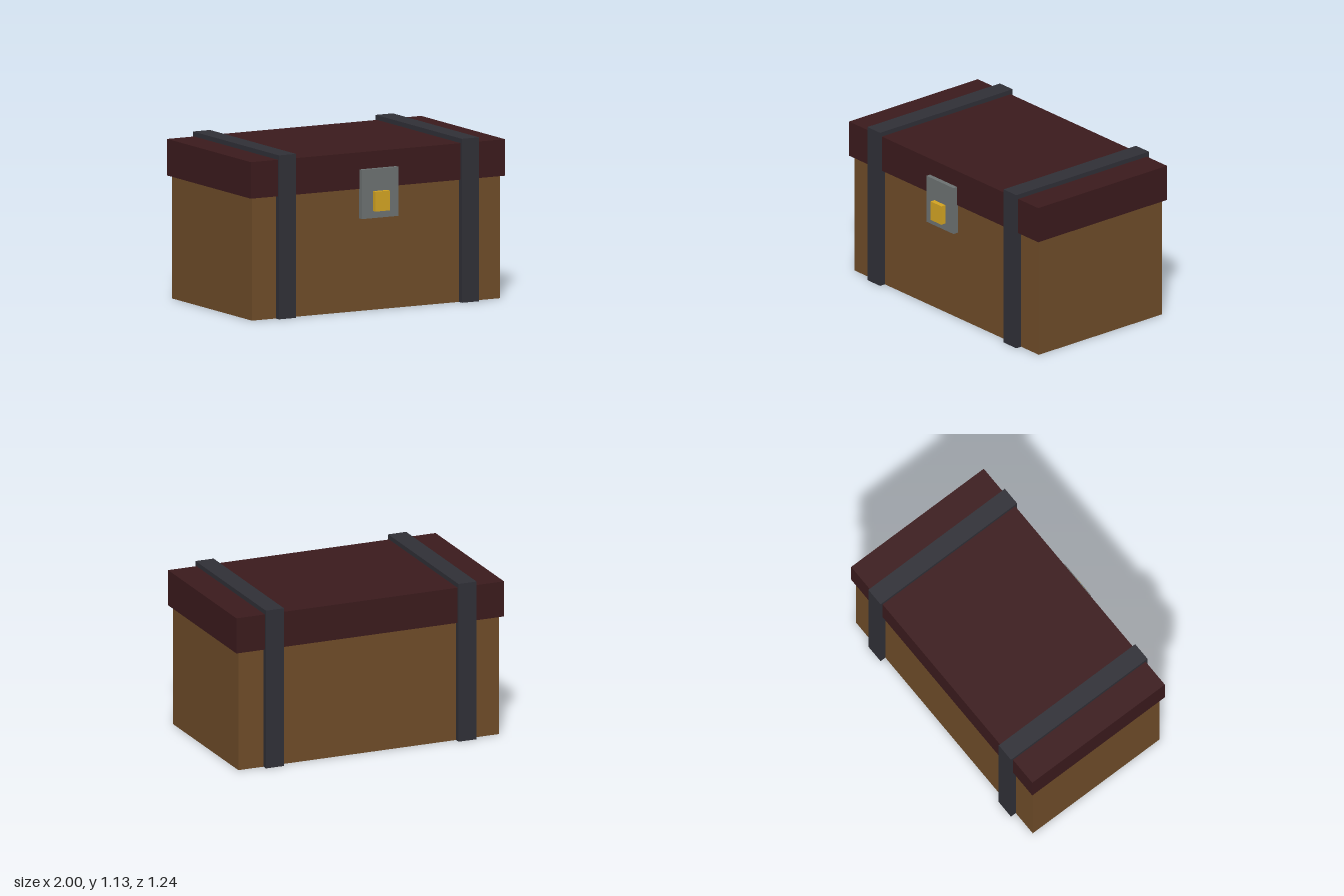
import * as THREE from 'three';

const material = (name, color) => {
  const m = new THREE.MeshStandardMaterial({ color });
  m.name = name;
  return m;
};

export function createModel() {
  const wood = material('brown wood', 0x6d4b28);
  const darkWood = material('dark red wood', 0x3a1a1c);
  const iron = material('dark iron', 0x2f2f36);
  const steel = material('grey steel', 0x6b7070);
  const brass = material('brass', 0xd0a222);

  const chest = new THREE.Group();
  chest.name = 'chest';

  // Box given by its lower and upper corners
  const box = (name, mat, [x0, y0, z0], [x1, y1, z1]) => {
    const mesh = new THREE.Mesh(new THREE.BoxGeometry(x1 - x0, y1 - y0, z1 - z0), mat);
    mesh.position.set((x0 + x1) / 2, (y0 + y1) / 2, (z0 + z1) / 2);
    mesh.name = name;
    chest.add(mesh);
  };

  // Body and overhanging lid
  box('body', wood, [-0.975, 0, -0.578], [0.975, 0.85, 0.525]);
  box('lid', darkWood, [-1, 0.85, -0.602], [1, 1.103, 0.552]);

  // Straps: up the front, over the lid and down the back
  const front = 0.568, back = -0.62, top = 1.135;
  const profile = new THREE.Shape([
    [front, 0], [front, top], [back, top], [back, 0],
    [-0.578, 0], [-0.578, 1.09], [0.525, 1.09], [0.525, 0],
  ].map(([z, y]) => new THREE.Vector2(-z, y)));
  const width = 0.135;
  const strapGeometry = new THREE.ExtrudeGeometry(profile, { depth: width, bevelEnabled: false });
  strapGeometry.translate(0, 0, -width / 2).rotateY(Math.PI / 2);
  for (const side of [-1, 1]) {
    const strap = new THREE.Mesh(strapGeometry, iron);
    strap.position.x = side * 0.72;
    strap.name = side > 0 ? 'leftStrap' : 'rightStrap';
    chest.add(strap);
  }

  // Lock plate and latch
  box('lockPlate', steel, [-0.143, 0.645, 0.545], [0.143, 0.985, 0.585]);
  box('latch', brass, [-0.057, 0.695, 0.58], [0.057, 0.832, 0.62]);

  return chest;
}
